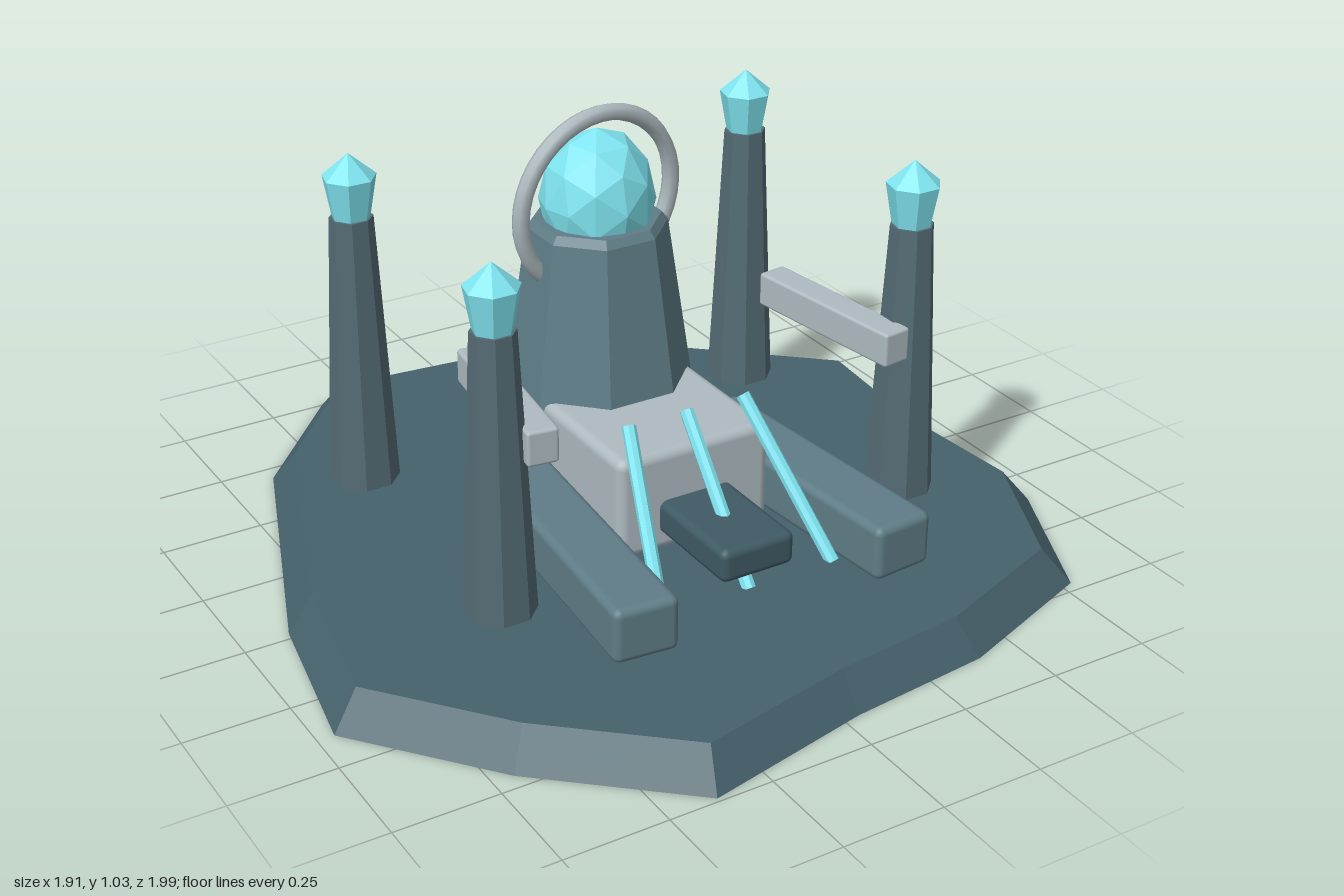
import * as THREE from 'three';
import { RoundedBoxGeometry } from 'three/addons/geometries/RoundedBoxGeometry.js';

const CX = 0.045; // the building's own centre line

const paint = (color, extra = {}) => new THREE.MeshStandardMaterial({ color, ...extra });
const slate = paint(0x5f7d87, { flatShading: true });
const slateSmooth = paint(0x5f7d87);
const stone = paint(0x546b74, { flatShading: true });
const dark = paint(0x3f5a64);
const pale = paint(0xaebbc0);
const ground = paint(0x46626c, { flatShading: true, side: THREE.DoubleSide });
const glow = paint(0x7fe4f0, { flatShading: true });

function add(parent, name, geometry, material, x = 0, y = 0, z = 0) {
  const mesh = new THREE.Mesh(geometry, material);
  mesh.name = name;
  mesh.position.set(x, y, z);
  parent.add(mesh);
  return mesh;
}

const block = (w, h, d, r) => new RoundedBoxGeometry(w, h, d, 2, r);

// Faceted solid of revolution with a flat side facing the front
function faceted(points, sides) {
  const profile = points.map(([r, y]) => new THREE.Vector2(r, y));
  return new THREE.LatheGeometry(profile, sides, Math.PI / sides);
}

// Irregular sloped slab, hollow underneath
function slabGeometry(height, inset) {
  const outline = [
    [-0.36, -1], [0.04, -0.96], [0.4, -0.89], [0.95, -0.4], [0.915, -0.02], [0.945, 0.36], [0.78, 0.72],
    [0.4, 0.86], [0.04, 0.9], [-0.38, 0.99], [-0.7, 0.71], [-0.96, 0.39], [-0.885, -0.02], [-0.63, -0.7],
  ];
  const positions = [];
  const low = ([x, z]) => [x, 0, z];
  const high = ([x, z]) => [x * inset, height, z * inset];
  outline.forEach((a, i) => {
    const b = outline[(i + 1) % outline.length];
    positions.push(...low(b), ...low(a), ...high(a));
    positions.push(...low(b), ...high(a), ...high(b));
    positions.push(0, height, 0, ...high(b), ...high(a));
  });
  const geometry = new THREE.BufferGeometry();
  geometry.setAttribute('position', new THREE.Float32BufferAttribute(positions, 3));
  geometry.computeVertexNormals();
  return geometry;
}

// Straight rod between two points
function addRod(parent, name, from, to, radius) {
  const a = new THREE.Vector3(...from);
  const dir = new THREE.Vector3(...to).sub(a);
  const rod = add(parent, name, new THREE.CylinderGeometry(radius, radius, dir.length(), 8), glow);
  rod.position.copy(a).addScaledVector(dir, 0.5);
  rod.quaternion.setFromUnitVectors(new THREE.Vector3(0, 1, 0), dir.normalize());
}

export function createModel() {
  const model = new THREE.Group();
  model.name = 'shrine';

  add(model, 'groundSlab', slabGeometry(0.085, 0.93), ground);

  // Main building
  add(model, 'mainHall', block(0.41, 0.26, 0.77, 0.025), pale, CX, 0.22, -0.155);
  add(model, 'frontStep', block(0.195, 0.085, 0.32, 0.02), dark, CX, 0.18, 0.34);

  // Tower with bevelled ends
  const towerProfile = [[0, 0.215], [0.215, 0.215], [0.243, 0.24], [0.17, 0.735], [0.155, 0.755], [0, 0.755]];
  add(model, 'tower', faceted(towerProfile, 8), slate, CX, 0, -0.22);

  // Glowing dome and the ring around it
  const dome = add(model, 'dome', new THREE.IcosahedronGeometry(0.14, 1), glow, CX, 0.8, -0.22);
  dome.scale.y = 1.25;
  const ring = add(model, 'ring', new THREE.TorusGeometry(0.22, 0.021, 8, 40), pale, CX, 0.793, -0.22);
  ring.rotation.set(0.05, 0.11, 0);

  // Side wings and floating bars, splayed towards the front
  for (const side of [-1, 1]) {
    const word = side < 0 ? 'right' : 'left';
    const wing = add(model, word + 'Wing', block(0.16, 0.137, 0.73, 0.02), slateSmooth,
      CX + side * 0.313, 0.1465, 0.22);
    wing.rotation.y = side * 0.085;
    const bar = add(model, word + 'FloatingBar', block(0.075, 0.085, 0.445, 0.008), pale,
      CX + side * 0.44, 0.528, 0.135);
    bar.rotation.y = side * 0.13;
  }

  // Slanted light rods at the front
  for (const i of [-1, 0, 1]) {
    addRod(model, 'lightRod', [CX + i * 0.155, 0.415, 0.185], [CX + i * 0.232, 0.08, 0.46], 0.017);
  }

  // Four pillars topped with crystals
  const shaft = faceted([[0, 0.112], [0.085, 0.112], [0.052, 0.8], [0, 0.8]], 8);
  const crystal = faceted([[0, 0.74], [0.036, 0.74], [0.065, 0.9], [0, 0.957]], 7);
  for (const x of [-0.502, 0.59]) {
    for (const z of [-0.415, 0.285]) {
      const pillar = new THREE.Group();
      pillar.name = 'pillar';
      pillar.position.set(x, 0, z);
      add(pillar, 'pillarShaft', shaft, stone);
      add(pillar, 'pillarCrystal', crystal, glow);
      model.add(pillar);
    }
  }

  return model;
}
